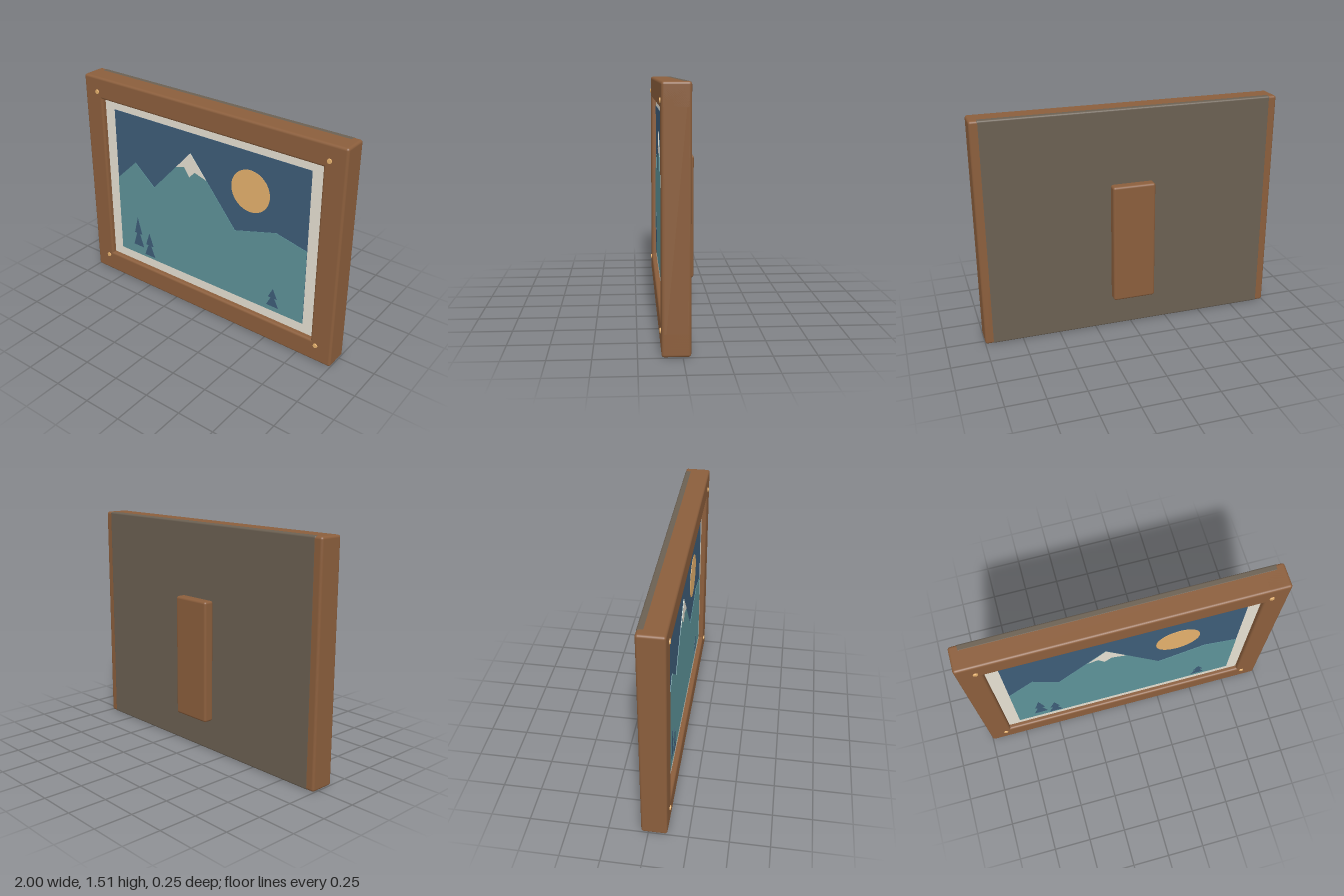
import * as THREE from 'three';
import { RoundedBoxGeometry } from 'three/addons/geometries/RoundedBoxGeometry.js';

const material = (name, color) => {
  const m = new THREE.MeshStandardMaterial({ color });
  m.name = name;
  return m;
};

export function createModel() {
  const wood = material('wood', 0x8b5e3c);
  const backing = material('backing', 0x6b6052);
  const cream = material('cream', 0xe6e0d2);
  const navy = material('navy', 0x3d5c78);
  const teal = material('teal', 0x5d9298);
  const gold = material('gold', 0xe4b06c);

  const model = new THREE.Group();
  model.name = 'framedPicture';
  const add = (name, geometry, mat, x, y, z) => {
    const mesh = new THREE.Mesh(geometry, mat);
    mesh.name = name;
    mesh.position.set(x, y, z);
    model.add(mesh);
    return mesh;
  };
  const rounded = (w, h, d, r) => new RoundedBoxGeometry(w, h, d, 4, r);
  // thin plate cut from a flat outline, its back at height z
  const plate = (name, shape, mat, z) =>
    add(name, new THREE.ExtrudeGeometry(shape, { depth: 0.003, bevelEnabled: false, curveSegments: 32 }), mat, 0, 0, z);
  const outline = (points) => new THREE.Shape(points.map(([x, y]) => new THREE.Vector2(x, y)));

  // Frame rails
  const H = 1.505, D = 0.164, RAIL = 0.15, Z = 0.036;
  for (const y of [RAIL / 2, H - RAIL / 2]) {
    add(y < 1 ? 'bottomRail' : 'topRail', rounded(2, RAIL, D, 0.016), wood, 0, y, Z);
  }
  for (const s of [-1, 1]) {
    add(s < 0 ? 'rightRail' : 'leftRail', rounded(RAIL, H, D, 0.016), wood, s * (1 - RAIL / 2), H / 2, Z);
  }

  // Backboard and rear stand
  add('backboard', rounded(1.91, H + 0.001, 0.0465, 0.012), backing, 0, H / 2, -0.02325);
  add('rearStand', rounded(0.284, 0.804, 0.072, 0.016), wood, 0, 0.62, -0.089);

  // Mat and sky
  add('mat', new THREE.BoxGeometry(1.72, 1.22, 0.085), cream, 0, H / 2 + 0.003, 0.0425);
  plate('sky', outline([[-0.768, 0.22], [0.768, 0.22], [0.768, 1.295], [-0.768, 1.295]]), navy, 0.085);

  // Landscape
  plate('mountains', outline([
    [-0.768, 0.22], [0.768, 0.22], [0.768, 0.755], [0.545, 0.805], [0.235, 0.715],
    [-0.12, 1.155], [-0.44, 0.81], [-0.6, 0.95], [-0.768, 0.79],
  ]), teal, 0.088);
  plate('snowCap', outline([
    [-0.12, 1.155], [-0.24, 1.025], [-0.172, 1.045], [-0.13, 0.983], [-0.085, 1.028], [0.006, 1.0],
  ]), cream, 0.0895);
  plate('moon', new THREE.Shape().absarc(0.347, 1.03, 0.143, 0, Math.PI * 2), gold, 0.088);

  // Fir trees: x, base, upper tier base, tip
  for (const [x, base, mid, tip] of [
    [-0.605, 0.29, 0.39, 0.52], [-0.502, 0.24, 0.325, 0.425], [0.54, 0.255, 0.32, 0.39],
  ]) {
    plate('tree', outline([
      [x - 0.046, base], [x + 0.046, base], [x + 0.013, mid], [x + 0.034, mid],
      [x, tip], [x - 0.034, mid], [x - 0.013, mid],
    ]), navy, 0.0895);
  }

  // Corner pins
  for (const x of [-0.888, 0.888]) for (const y of [0.12, 1.402]) {
    add('cornerPin', new THREE.CylinderGeometry(0.014, 0.018, 0.014, 16), gold, x, y, 0.118).rotation.x = Math.PI / 2;
  }

  return model;
}
